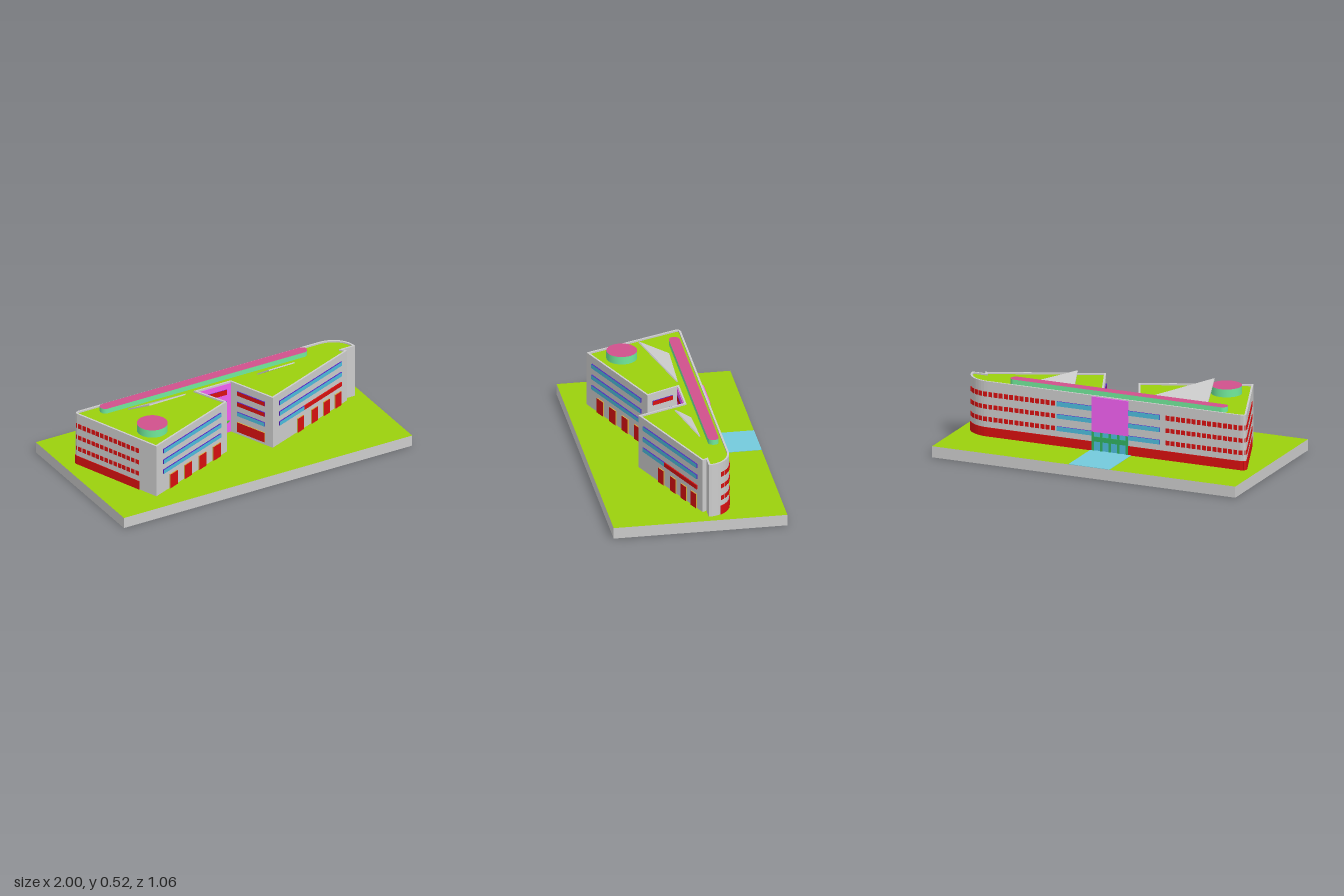
import * as THREE from 'three';
import { ConvexGeometry } from 'three/addons/geometries/ConvexGeometry.js';

const mat = (color) => new THREE.MeshStandardMaterial({ color });
const GREY = mat(0xcccccc), GRASS = mat(0x9bd00c), RED = mat(0xd81010), TEAL = mat(0x4cbcdc);
const PURPLE = mat(0x5020c0), YELLOW = mat(0xd0a840), MAGENTA = mat(0xf060f0), PINK = mat(0xd0508c);
const MINT = mat(0x70e89a), LEAF = mat(0x48d820), WATER = mat(0x74cadc), GREEN = mat(0x30b060);

const GROUND = 0.07, ROOF = 0.405, TOP = 0.415;

// Corners as [x, z], running left to right when seen from outside
const leftFront = [-0.70, 0.40], leftInner = [-0.06, 0.14], notchL = [-0.15, -0.06];
const notchR = [0.08, -0.06], rightInner = [0.20, 0.24], rightEnd = [0.875, -0.035];

const roundEnd = [];
for (let i = 0; i <= 12; i++) {
  const a = (i / 12) * Math.PI / 2;
  roundEnd.push([0.78 + 0.165 * Math.cos(a), -0.06 - 0.15 * Math.sin(a)]);
}
const backCorner = [[-0.89, -0.21], [-0.908, -0.205], [-0.917, -0.194], [-0.916, -0.18]];
const outline = [leftFront, leftInner, notchL, notchR, rightInner, rightEnd, [0.86, -0.06], ...roundEnd, ...backCorner];

// Moves every side of a polygon inward by d
function inset(pts, d) {
  const n = pts.length;
  return pts.map((p, i) => {
    const a = pts[(i + n - 1) % n], b = pts[(i + 1) % n];
    const inward = (s, e) => {
      const l = Math.hypot(e[0] - s[0], e[1] - s[1]);
      return [(e[1] - s[1]) / l, -(e[0] - s[0]) / l];
    };
    const m = inward(a, p), k = inward(p, b);
    const f = d / (1 + m[0] * k[0] + m[1] * k[1]);
    return [p[0] + (m[0] + k[0]) * f, p[1] + (m[1] + k[1]) * f];
  });
}

const toVectors = (pts) => pts.map(([x, z]) => new THREE.Vector2(x, -z));

function prism(shape, y0, y1) {
  const g = new THREE.ExtrudeGeometry(shape, { depth: y1 - y0, bevelEnabled: false, curveSegments: 16 });
  return g.rotateX(-Math.PI / 2).translate(0, y0, 0);
}

export function createModel() {
  const model = new THREE.Group();
  const add = (name, geometry, material, parent = model) => {
    const mesh = new THREE.Mesh(geometry, material);
    mesh.name = name;
    parent.add(mesh);
    return mesh;
  };
  const group = (name) => {
    const g = new THREE.Group();
    g.name = name;
    model.add(g);
    return g;
  };

  // Panel standing proud of the wall a-b, between fractions t0 and t1
  function panel(name, a, b, t0, t1, y0, y1, front, side, parent, depth = 0.008) {
    const dx = b[0] - a[0], dz = b[1] - a[1], t = (t0 + t1) / 2;
    const g = new THREE.BoxGeometry(Math.hypot(dx, dz) * (t1 - t0), y1 - y0, depth * 2);
    const mesh = add(name, g, [side, side, side, side, front, side], parent);
    mesh.position.set(a[0] + dx * t, (y0 + y1) / 2, a[1] + dz * t);
    mesh.rotation.y = Math.atan2(-dz, dx);
  }

  // Site slab, underside strip and path to the back entrance
  add('siteSlab', new THREE.BoxGeometry(2, GROUND, 1.06), [GREY, GREY, GRASS, GREY, GREY, GREY])
    .position.y = GROUND / 2;
  add('undersideStrip', new THREE.PlaneGeometry(1.1, 0.23).rotateX(Math.PI / 2), GRASS)
    .position.set(-0.45, -0.001, 0);
  add('entrancePath', new THREE.BoxGeometry(0.27, 0.003, 0.32), WATER).position.set(-0.035, GROUND + 0.001, -0.37);

  // Walls with parapet, and the green roof inside it
  const inner = inset(outline, 0.012);
  const wallShape = new THREE.Shape(toVectors(outline));
  wallShape.holes.push(new THREE.Path(toVectors(inner)));
  add('walls', prism(wallShape, GROUND, TOP), GREY);
  add('roof', prism(new THREE.Shape(toVectors(inner)), ROOF - 0.03, ROOF), GRASS);

  // Long rounded roof bar and round roof drum
  const bar = new THREE.Shape();
  bar.absarc(0.622, 0.143, 0.033, -Math.PI / 2, Math.PI / 2, false);
  bar.absarc(-0.742, 0.143, 0.033, Math.PI / 2, Math.PI * 1.5, false);
  add('roofBar', prism(bar, ROOF, 0.437), [PINK, MINT]);
  add('roofDrum', new THREE.CylinderGeometry(0.093, 0.093, 0.05, 40), [MINT, PINK, PINK])
    .position.set(-0.613, 0.43, 0.2);

  // Tilted triangular roof lights
  const roofLights = [
    [[-0.615, 0.41, -0.09], [-0.578, 0.522, 0.1], [-0.225, 0.41, -0.075]],
    [[0.27, 0.41, -0.07], [0.293, 0.48, 0.03], [0.535, 0.41, -0.08]],
  ];
  for (const corners of roofLights) {
    const pts = corners.map((c) => new THREE.Vector3(...c));
    const n = new THREE.Triangle(...pts).getNormal(new THREE.Vector3()).multiplyScalar(0.008);
    add('roofLight', new ConvexGeometry([...pts, ...pts.map((p) => p.clone().sub(n))]), GREY);
  }

  // Front windows and doors of both wings
  const rows = [[0.34, 0.367], [0.267, 0.294], [0.199, 0.225]];
  function wing(name, a, b, x0, x1, doors, split) {
    const g = group(name), t = (x) => (x - a[0]) / (b[0] - a[0]);
    rows.forEach(([y0, y1], i) => {
      const end = i === 2 && split ? split : x1;
      panel('windowBand', a, b, t(x0), t(end), y0, y1, TEAL, PURPLE, g);
      if (end !== x1) panel('redBand', a, b, t(end), t(x1), y0, y1, RED, RED, g);
    });
    for (const [d0, d1] of doors) panel('door', a, b, t(d0), t(d1), GROUND, 0.165, RED, YELLOW, g);
  }
  wing('leftWingFront', leftFront, leftInner, -0.64, -0.12,
    [[-0.58, -0.515], [-0.45, -0.385], [-0.32, -0.255], [-0.19, -0.125]]);
  wing('rightWingFront', rightInner, rightEnd, 0.255, 0.82,
    [[0.42, 0.475], [0.545, 0.6], [0.655, 0.71], [0.76, 0.815]], 0.48);

  // Courtyard: facing side walls, coloured end wall and canopy
  const court = group('courtyard');
  for (const [a, b] of [[leftInner, notchL], [notchR, rightInner]]) {
    rows.forEach(([y0, y1], i) => panel('courtWindow', a, b, 0.17, 0.82, y0, y1, i === 2 ? TEAL : RED, PURPLE, court));
    panel('courtDoor', a, b, 0.17, 0.82, 0.09, 0.155, RED, YELLOW, court);
  }
  panel('courtWall', notchL, notchR, 0, 1, GROUND, 0.405, MAGENTA, MAGENTA, court, 0.004);
  for (const [y0, y1] of [[0.335, 0.37], [0.255, 0.29], [0.175, 0.22]]) {
    panel('courtWallWindow', notchL, notchR, 0.15, 0.87, y0, y1, RED, PURPLE, court);
  }
  const canopy = new THREE.Shape(toVectors([[-0.15, -0.062], [-0.112, 0.022], [0.085, -0.062]]));
  add('courtCanopy', prism(canopy, 0.14, 0.152), LEAF, court);

  // Path of the window ribbons: round end, back, and left side
  const ribbon = [...roundEnd.filter((p) => p[1] < -0.12), [0.32, -0.21], [0.09, -0.21], [-0.15, -0.21],
    [-0.36, -0.21], ...backCorner, [-0.745, 0.278]];
  const backRows = [[0.32, 0.35], [0.243, 0.27], [0.165, 0.193]];
  const ribbons = group('backAndSideRibbons');
  const onBack = (p, lo, hi) => p[1] < -0.2 && p[0] > lo && p[0] < hi;
  for (let i = 0; i + 1 < ribbon.length; i++) {
    const mid = [(ribbon[i][0] + ribbon[i + 1][0]) / 2, (ribbon[i][1] + ribbon[i + 1][1]) / 2];
    if (!onBack(mid, -0.15, 0.09)) {
      panel('redPlinth', ribbon[i], ribbon[i + 1], 0, 1, GROUND, 0.127, RED, RED, ribbons, 0.004);
    }
  }
  const track = new THREE.CurvePath();
  for (let i = 0; i + 1 < ribbon.length; i++) {
    track.add(new THREE.LineCurve(new THREE.Vector2(...ribbon[i]), new THREE.Vector2(...ribbon[i + 1])));
  }
  const length = track.getLength(), count = Math.floor(length / 0.034);
  for (let i = 0; i < count; i++) {
    const a = track.getPointAt((i + 0.12) / count).toArray(), b = track.getPointAt((i + 0.82) / count).toArray();
    if (onBack(a, -0.37, 0.32) || onBack(b, -0.36, 0.33)) continue;
    for (const [y0, y1] of backRows) panel('redPane', a, b, 0, 1, y0, y1, RED, RED, ribbons, 0.004);
  }

  // Back centre: blue windows, coloured block and entrance
  const back = group('backCentre'), z = -0.21;
  for (const [y0, y1] of backRows) {
    panel('blueWindow', [0.32, z], [0.09, z], 0, 1, y0, y1, TEAL, PURPLE, back);
    panel('blueWindow', [-0.15, z], [-0.36, z], 0, 1, y0, y1, TEAL, PURPLE, back);
  }
  const e0 = [0.09, z], e1 = [-0.15, z];
  panel('centreBlock', e0, e1, 0, 1, 0.19, 0.41, MAGENTA, MAGENTA, back);
  panel('entranceGlass', e0, e1, 0, 1, GROUND, 0.19, TEAL, TEAL, back, 0.002);
  panel('entranceLintel', e0, e1, 0, 1, 0.13, 0.16, GREEN, GREEN, back);
  for (let i = 0; i < 5; i++) {
    panel('entrancePost', e0, e1, i * 0.235, i * 0.235 + 0.06, GROUND, 0.19, GREEN, GREEN, back, 0.006);
  }
  return model;
}
